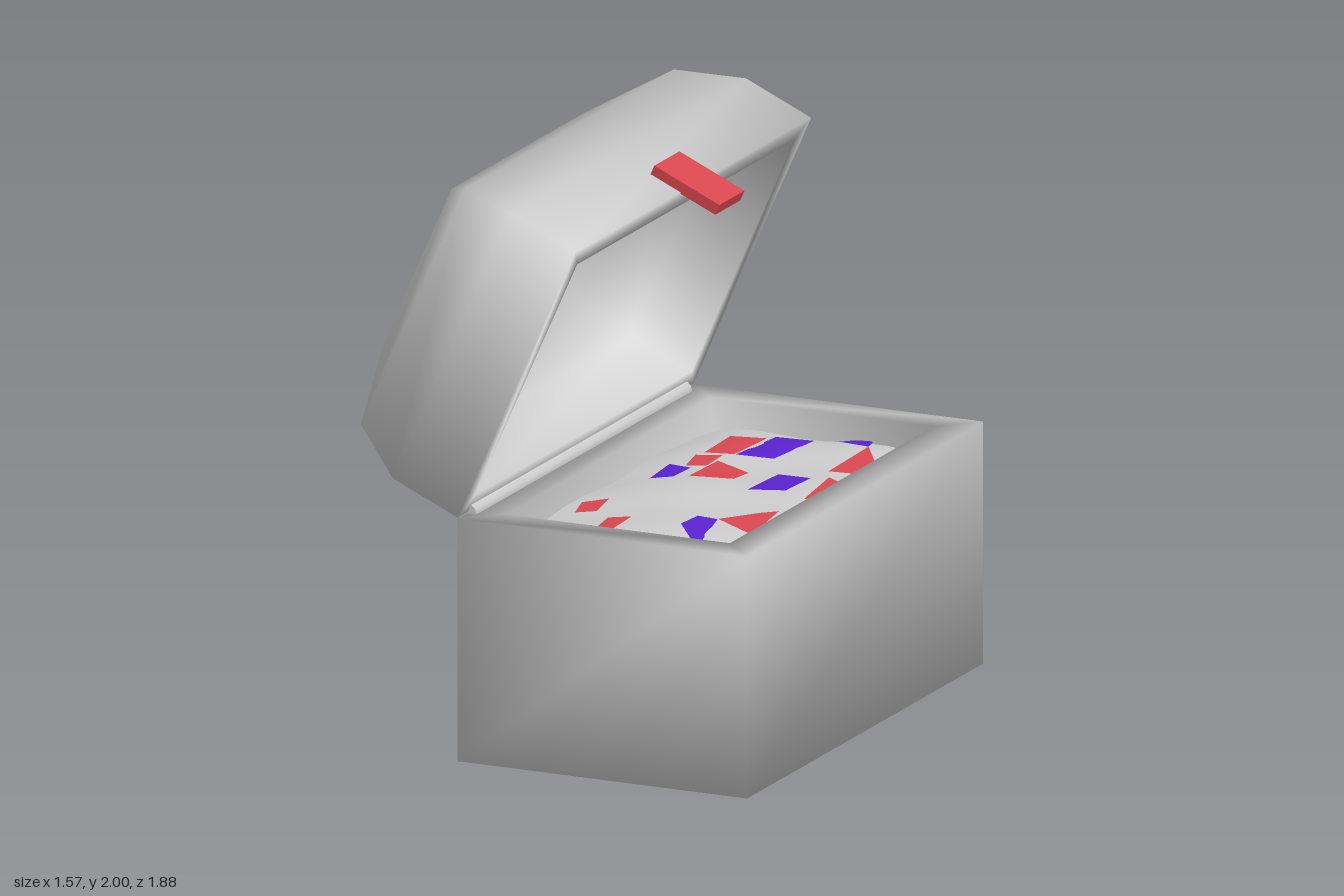
import * as THREE from 'three';

const grey = new THREE.MeshStandardMaterial({ color: 0xcccccc });
const greyThin = new THREE.MeshStandardMaterial({ color: 0xcccccc, side: THREE.DoubleSide });
const red = new THREE.MeshStandardMaterial({ color: 0xd8474f, side: THREE.DoubleSide });
const violet = new THREE.MeshStandardMaterial({ color: 0x5a22d0, side: THREE.DoubleSide });

function addMesh(parent, name, geometry, material) {
  const mesh = new THREE.Mesh(geometry, material);
  mesh.name = name;
  parent.add(mesh);
  return mesh;
}

// Joins rectangular rings [halfX, halfZ, y] into one smooth skin, capped at both ends
function loftRects(rings) {
  const pos = [], idx = [];
  for (const [hx, hz, y] of rings) pos.push(hx, y, hz, hx, y, -hz, -hx, y, -hz, -hx, y, hz);
  for (let i = 0; i < rings.length - 1; i++) {
    for (let j = 0; j < 4; j++) {
      const a = i * 4 + j, b = i * 4 + (j + 1) % 4;
      idx.push(a, b, b + 4, a, b + 4, a + 4);
    }
  }
  const e = (rings.length - 1) * 4;
  idx.push(0, 2, 1, 0, 3, 2, e, e + 1, e + 2, e, e + 2, e + 3);
  const g = new THREE.BufferGeometry();
  g.setAttribute('position', new THREE.Float32BufferAttribute(pos, 3));
  g.setIndex(idx);
  g.computeVertexNormals();
  return g;
}

// Height of the uneven heap, falling off towards the walls
const CX = 0.237;
function heapHeight(x, z) {
  const ex = Math.abs(x - CX) / 0.423, ez = Math.abs(z) / 0.82;
  return 0.8 - 0.035 * ex ** 4 - 0.035 * ez ** 6
    + 0.012 * Math.sin(9 * x + 4 * z) * Math.cos(7 * z - 3 * x);
}

// Flat gem patch laid over the heap, as a fan around its middle
function patchGeometry(points) {
  const n = points.length;
  const mid = [0, 1].map(k => points.reduce((s, p) => s + p[k], 0) / n);
  const pos = [], idx = [];
  for (const [x, z] of [mid, ...points]) pos.push(x, heapHeight(x, z) + 0.008, z);
  for (let i = 0; i < n; i++) idx.push(0, 1 + (i + 1) % n, 1 + i);
  const g = new THREE.BufferGeometry();
  g.setAttribute('position', new THREE.Float32BufferAttribute(pos, 3));
  g.setIndex(idx);
  g.computeVertexNormals();
  // keep the normals pointing up whichever way the outline runs
  if (g.attributes.normal.getY(0) < 0) {
    g.setIndex(idx.reverse());
    g.computeVertexNormals();
  }
  return g;
}

export function createModel() {
  const model = new THREE.Group();
  model.name = 'treasureChest';

  // Hollow box
  const box = addMesh(model, 'chestBody', loftRects([
    [0.548, 0.94, 0], [0.548, 0.94, 0.86], [0.423, 0.815, 0.86], [0.423, 0.815, 0.12],
  ]), grey);
  box.position.x = CX;

  // Hinge rod
  const hinge = addMesh(model, 'hinge', new THREE.CylinderGeometry(0.035, 0.035, 1.72, 12), grey);
  hinge.rotation.x = Math.PI / 2;
  hinge.position.set(-0.312, 0.86, 0);

  // Open lid: a domed shell, modelled upside down and swung about its long axis
  const lid = new THREE.Group();
  lid.name = 'lid';
  lid.position.set(-0.0875, 1.3625, 0);
  lid.rotation.z = Math.atan2(-0.913, -0.408);
  model.add(lid);
  addMesh(lid, 'lidShell', loftRects([
    [0.046, 0.08, -0.705], [0.314, 0.53, -0.622], [0.485, 0.83, -0.485], [0.545, 0.94, -0.27],
    [0.545, 0.94, 0], [0.475, 0.865, 0],
    [0.475, 0.865, -0.25], [0.425, 0.765, -0.435], [0.27, 0.47, -0.56], [0.04, 0.07, -0.635],
  ]), grey);

  // Clasp on the lid's front edge
  const clasp = addMesh(lid, 'clasp', new THREE.BoxGeometry(0.04, 0.27, 0.2), red);
  clasp.position.set(-0.56, 0.01, 0);

  // Heap of treasure
  const heap = new THREE.PlaneGeometry(0.846, 1.63, 10, 20);
  heap.rotateX(-Math.PI / 2).translate(CX, 0, 0);
  const p = heap.attributes.position;
  for (let i = 0; i < p.count; i++) p.setY(i, heapHeight(p.getX(i), p.getZ(i)));
  heap.computeVertexNormals();
  addMesh(model, 'treasureHeap', heap, greyThin);

  // Gem patches as [x, z] outlines
  const patches = {
    redGem: [red, [
      [[0.485, -0.66], [0.565, -0.54], [0.595, -0.38], [0.49, -0.33]],
      [[0.1, -0.27], [0.25, -0.2], [0.25, -0.08], [0.1, -0.04]],
      [[0.53, -0.25], [0.655, -0.21], [0.64, -0.02], [0.555, 0]],
      [[0.535, 0.16], [0.58, 0.47], [0.41, 0.38], [0.49, 0.21]],
      [[0.0, -0.3], [0.09, -0.33], [0.09, -0.2], [0.02, -0.18]],
      [[0.0, -0.58], [0.12, -0.62], [0.12, -0.36], [0.02, -0.33]],
      [[-0.13, 0.33], [-0.05, 0.28], [-0.03, 0.42], [-0.1, 0.45]],
      [[0.05, 0.5], [0.13, 0.48], [0.13, 0.68], [0.07, 0.63]],
    ]],
    violetGem: [violet, [
      [[0.125, -0.68], [0.265, -0.69], [0.25, -0.4], [0.125, -0.36]],
      [[0.365, -0.81], [0.42, -0.81], [0.455, -0.76], [0.485, -0.66], [0.36, -0.69]],
      [[0.345, -0.235], [0.48, -0.21], [0.465, -0.04], [0.345, 0.01]],
      [[0.335, 0.385], [0.41, 0.385], [0.47, 0.68], [0.335, 0.52]],
      [[0.535, 0.63], [0.655, 0.58], [0.655, 0.81], [0.555, 0.81]],
      [[-0.05, -0.2], [0.05, -0.16], [0.05, -0.02], [-0.03, 0]],
      [[-0.02, 0.64], [0.04, 0.61], [0.1, 0.75], [0, 0.78]],
    ]],
  };
  for (const [name, [material, outlines]] of Object.entries(patches)) {
    for (const outline of outlines) addMesh(model, name, patchGeometry(outline), material);
  }

  return model;
}
